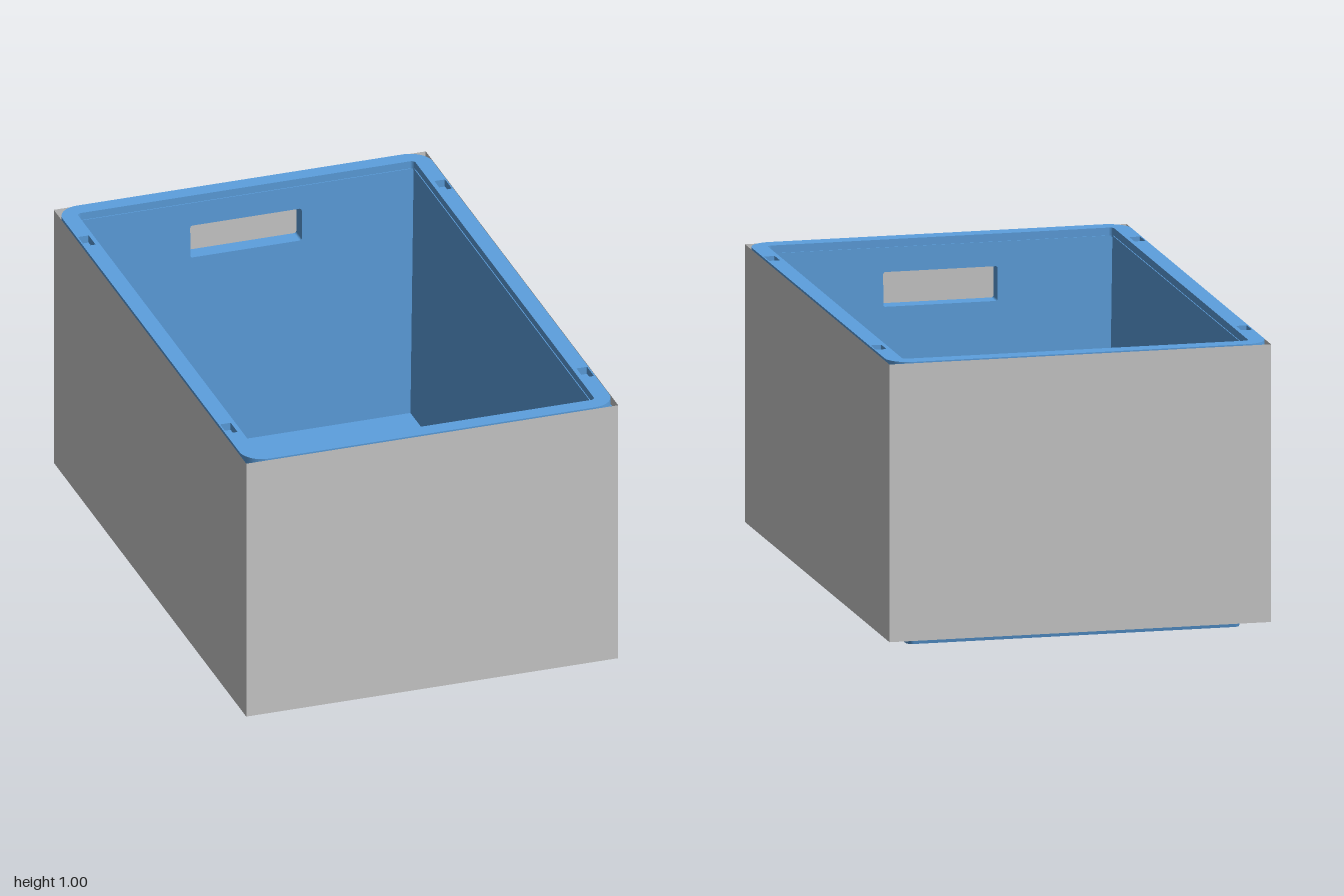
import * as THREE from 'three';

const W = 0.667, D = 1, BASE = 0.03, TOP = 0.997;

// rounded rectangle outline centred on (cx, cy), hx and hy are half sizes
function roundRect(Kind, hx, hy, r, cx = 0, cy = 0) {
  const s = new Kind();
  s.moveTo(cx + hx, cy - hy + r);
  s.lineTo(cx + hx, cy + hy - r);
  s.absarc(cx + hx - r, cy + hy - r, r, 0, Math.PI / 2);
  s.absarc(cx - hx + r, cy + hy - r, r, Math.PI / 2, Math.PI);
  s.absarc(cx - hx + r, cy - hy + r, r, Math.PI, Math.PI * 1.5);
  s.absarc(cx + hx - r, cy - hy + r, r, Math.PI * 1.5, Math.PI * 2);
  return s;
}

// horizontal slab from y0 to y1
function slab(shape, y0, y1) {
  const g = new THREE.ExtrudeGeometry(shape, { depth: y1 - y0, bevelEnabled: false, curveSegments: 8 });
  return g.rotateX(-Math.PI / 2).translate(0, y0, 0);
}

// upright wall facing -z inwards, thicker towards the floor, with an optional grip hole
function wallGeometry(half, outer, inner, withGrip) {
  const y0 = BASE + 0.005, y1 = 0.97;
  const s = new THREE.Shape();
  s.moveTo(-half, y0);
  s.lineTo(half, y0);
  s.lineTo(half, y1);
  s.lineTo(-half, y1);
  s.closePath();
  if (withGrip) s.holes.push(roundRect(THREE.Path, 0.2, 0.06, 0.008, 0, 0.825));
  const g = new THREE.ExtrudeGeometry(s, { depth: outer - inner, bevelEnabled: false, curveSegments: 3 });
  g.translate(0, 0, inner);
  const p = g.attributes.position;
  for (let i = 0; i < p.count; i++) {
    if (p.getZ(i) < inner + 0.001) p.setZ(i, inner - 0.018 * (y1 - p.getY(i)) / (y1 - y0));
  }
  g.computeVertexNormals();
  return g;
}

export function createModel() {
  const model = new THREE.Group();
  model.name = 'crate';
  const blue = new THREE.MeshStandardMaterial({ color: 0x5ca0df });
  const blueThin = new THREE.MeshStandardMaterial({ color: 0x5ca0df, side: THREE.DoubleSide });
  const grey = new THREE.MeshStandardMaterial({ color: 0xcccccc, side: THREE.DoubleSide });
  const add = (name, geometry, material = blue) => {
    const mesh = new THREE.Mesh(geometry, material);
    mesh.name = name;
    model.add(mesh);
    return mesh;
  };

  // top rim with four small latch slots
  const rim = roundRect(THREE.Shape, W - 0.004, D - 0.003, 0.08);
  rim.holes.push(roundRect(THREE.Path, 0.605, 0.94, 0.015));
  for (const sx of [-1, 1]) for (const sz of [-1, 1]) {
    rim.holes.push(roundRect(THREE.Path, 0.019, 0.036, 0.003, sx * 0.639, sz * 0.738));
  }
  add('rim', slab(rim, 0.965, TOP));

  // floor and the stacking foot that narrows downwards
  add('floor', slab(roundRect(THREE.Shape, W - 0.004, D - 0.003, 0.08), BASE, 0.05));
  const foot = slab(roundRect(THREE.Shape, 0.59, 0.92, 0.025), 0, BASE + 0.002);
  const p = foot.attributes.position;
  for (let i = 0; i < p.count; i++) {
    if (p.getY(i) < 0.001) p.setXYZ(i, p.getX(i) * 0.988, 0, p.getZ(i) * 0.992);
  }
  foot.computeVertexNormals();
  add('foot', foot);

  // tapered walls, the two ends have grip holes
  for (const [i, side] of ['front', 'left', 'back', 'right'].entries()) {
    const end = i % 2 === 0;
    const g = end ? wallGeometry(0.615, 0.992, 0.937, true) : wallGeometry(0.955, 0.66, 0.602, false);
    add(side + 'Wall', g).rotation.y = i * Math.PI / 2;

    // flat outer panel
    const h = 0.993 - BASE;
    const panel = new THREE.PlaneGeometry(end ? 2 * W : 2 * D, h);
    panel.translate(0, BASE + h / 2, end ? D : W);
    add(side + 'Panel', panel, grey).rotation.y = i * Math.PI / 2;
  }

  // rounded corner posts
  for (const [sx, sz, start] of [[1, 1, 0], [1, -1, 1], [-1, -1, 2], [-1, 1, 3]]) {
    const post = new THREE.CylinderGeometry(0.08, 0.08, 0.94, 8, 1, true, start * Math.PI / 2, Math.PI / 2);
    add('cornerPost', post, blueThin).position.set(sx * (W - 0.084), 0.5, sz * (D - 0.083));
  }
  return model;
}
